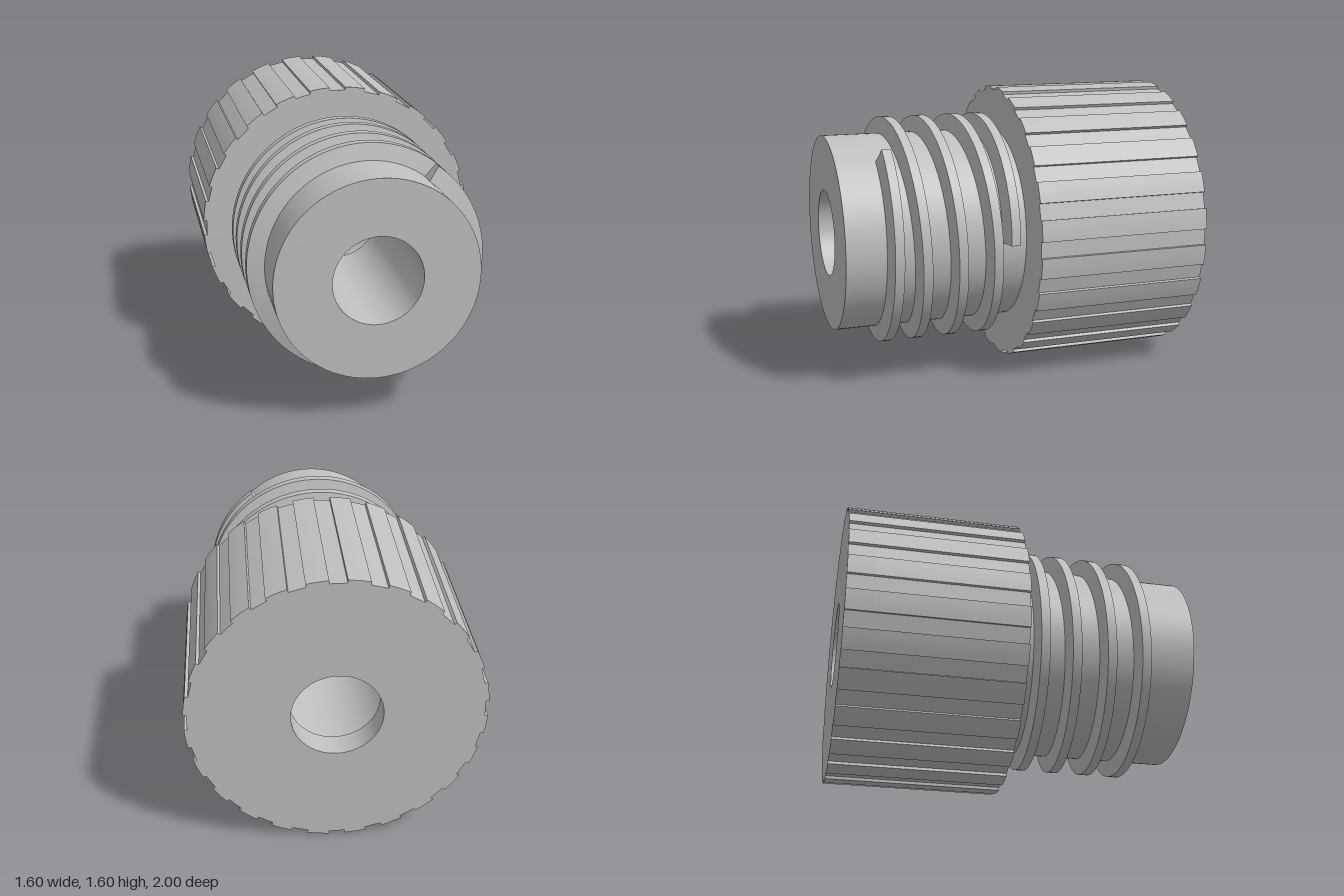
import * as THREE from 'three';
import { toCreasedNormals } from 'three/addons/utils/BufferGeometryUtils.js';

const AXIS_Y = 0.803;
const HEAD_FRONT = -0.012;

// Outline of the grip: 24 raised ribs separated by shallow flat grooves
function gripShape(boreRadius) {
  const pts = [];
  const add = (r, deg) => {
    const a = THREE.MathUtils.degToRad(deg);
    pts.push(new THREE.Vector2(r * Math.cos(a), r * Math.sin(a)));
  };
  for (let i = 0; i < 24; i++) {
    const c = i * 15;
    add(0.785, c - 3.3);
    add(0.785, c + 3.3);
    for (const d of [3.3, 6.1, 8.9, 11.7]) add(0.802, c + d);
  }
  const shape = new THREE.Shape(pts);
  const hole = new THREE.Path();
  hole.absarc(0, 0, boreRadius, 0, Math.PI * 2, true);
  shape.holes.push(hole);
  return shape;
}

function gripSection(boreRadius, z0, z1) {
  const geo = new THREE.ExtrudeGeometry(gripShape(boreRadius), {
    depth: z1 - z0, bevelEnabled: false, curveSegments: 32,
  });
  geo.translate(0, 0, z0);
  return toCreasedNormals(geo, 0.25);
}

// Forward position of the thread after t turns, flattening at both ends
function threadZ(t) {
  if (t < 1) return 0.08 + 0.1 * t * t;
  if (t < 3.5) return 0.18 + 0.2 * (t - 1);
  const u = Math.min(t - 3.5, 0.5);
  return 0.68 + 0.2 * u - 0.2 * u * u;
}

// Trapezoid ridge swept along the helix
function threadGeometry() {
  const profile = [[0.545, 0.05], [0.648, 0.026], [0.648, -0.026], [0.545, -0.05]];
  const turns = 4.15, steps = 400;
  const pos = [], index = [];
  for (let i = 0; i <= steps; i++) {
    const t = (turns * i) / steps, a = t * Math.PI * 2;
    for (const [r, dz] of profile) {
      pos.push(r * Math.cos(a), r * Math.sin(a), threadZ(t) + dz);
    }
  }
  for (let i = 0; i < steps; i++) {
    for (let j = 0; j < 3; j++) {
      const a = i * 4 + j, b = a + 4;
      index.push(a, a + 1, b, a + 1, b + 1, b);
    }
  }
  // End caps
  const e = steps * 4;
  index.push(0, 2, 1, 0, 3, 2, e, e + 1, e + 2, e, e + 2, e + 3);
  const geo = new THREE.BufferGeometry();
  geo.setAttribute('position', new THREE.Float32BufferAttribute(pos, 3));
  geo.setIndex(index);
  return toCreasedNormals(geo, 0.4);
}

// Hollow plain cylinder carrying the thread
function neckGeometry() {
  const profile = [[0.245, HEAD_FRONT], [0.555, HEAD_FRONT], [0.555, 1], [0.245, 1], [0.245, HEAD_FRONT]]
    .map(([r, z]) => new THREE.Vector2(r, z));
  const geo = new THREE.LatheGeometry(profile, 96);
  geo.rotateX(Math.PI / 2);
  return toCreasedNormals(geo, 0.5);
}

export function createModel() {
  const grey = new THREE.MeshStandardMaterial({ color: 0xc0c0c0 });
  grey.name = 'light grey';
  const model = new THREE.Group();
  model.name = 'threadedKnob';
  const add = (name, geo) => {
    const mesh = new THREE.Mesh(geo, grey);
    mesh.name = name;
    mesh.position.y = AXIS_Y;
    model.add(mesh);
  };
  add('gripBackWall', gripSection(0.245, -1, -0.85));
  add('gripShell', gripSection(0.35, -0.85, HEAD_FRONT));
  add('neck', neckGeometry());
  add('thread', threadGeometry());
  return model;
}
